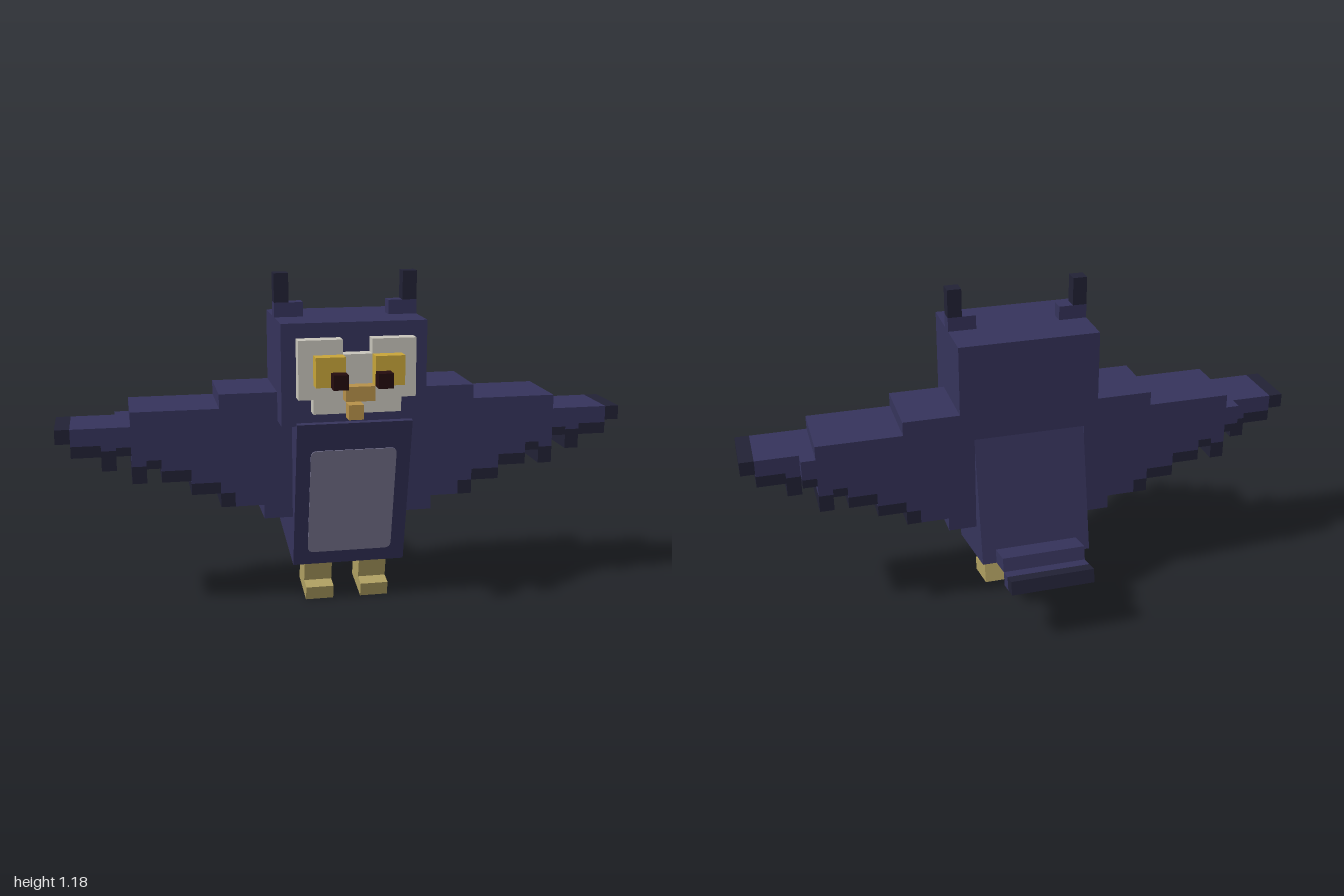
import * as THREE from 'three';

const mat = (name, color) => {
  const m = new THREE.MeshStandardMaterial({ color });
  m.name = name;
  return m;
};

export function createModel() {
  const navy = mat('navy feathers', 0x36345c);
  const dark = mat('dark feather tips', 0x222236);
  const grey = mat('belly grey', 0x807d9a);
  const cream = mat('face cream', 0xc9c6bc);
  const gold = mat('eye gold', 0xc9a63a);
  const black = mat('pupil black', 0x240c0e);
  const tan = mat('beak tan', 0xb8924a);
  const straw = mat('leg straw', 0xb0a062);

  const owl = new THREE.Group();
  owl.name = 'owl';

  // Box given by its lower and upper bounds on each axis
  const box = (parent, name, material, [x0, x1], [y0, y1], [z0, z1]) => {
    const mesh = new THREE.Mesh(new THREE.BoxGeometry(x1 - x0, y1 - y0, z1 - z0), material);
    mesh.position.set((x0 + x1) / 2, (y0 + y1) / 2, (z0 + z1) / 2);
    mesh.name = name;
    parent.add(mesh);
  };
  // The same box on both sides of the model
  const pair = (parent, name, material, [x0, x1], y, z) => {
    box(parent, name + 'Left', material, [x0, x1], y, z);
    box(parent, name + 'Right', material, [-x1, -x0], y, z);
  };
  const group = (name, parent = owl) => {
    const g = new THREE.Group();
    g.name = name;
    parent.add(g);
    return g;
  };

  // Head with ear tufts
  const head = group('head');
  box(head, 'skull', navy, [-0.25, 0.25], [0.68, 1.03], [-0.1, 0.25]);
  pair(head, 'earBase', navy, [0.15, 0.25], [1.03, 1.08], [0.05, 0.1]);
  pair(head, 'earTuft', dark, [0.2, 0.25], [1.08, 1.18], [0.05, 0.1]);

  // Face disc, notched at the brow and the lower corners
  const faceZ = [0.25, 0.3];
  box(head, 'faceCentre', cream, [-0.05, 0.05], [0.73, 0.93], faceZ);
  pair(head, 'faceCheek', cream, [0.05, 0.15], [0.73, 0.98], faceZ);
  pair(head, 'faceEdge', cream, [0.15, 0.2], [0.78, 0.98], faceZ);

  // Eyes and beak
  pair(head, 'eye', gold, [0.05, 0.15], [0.83, 0.93], [0.3, 0.35]);
  pair(head, 'pupil', black, [0.05, 0.1], [0.83, 0.88], [0.35, 0.4]);
  box(head, 'beak', tan, [-0.05, 0.05], [0.78, 0.83], [0.3, 0.35]);
  box(head, 'beakTip', tan, [-0.05, 0], [0.73, 0.78], [0.35, 0.4]);

  // Leaning body, pivoting on its lower front edge
  const body = group('body');
  body.position.set(0, 0.15, 0.15);
  body.rotation.x = THREE.MathUtils.degToRad(12.2);
  box(body, 'torso', navy, [-0.2, 0.2], [0, 0.55], [-0.35, 0]);

  // Belly patch with rounded corners
  const w = 0.15, lo = 0.05, hi = 0.45, r = 0.022;
  const patch = new THREE.Shape();
  patch.moveTo(-w + r, lo);
  patch.lineTo(w - r, lo);
  patch.quadraticCurveTo(w, lo, w, lo + r);
  patch.lineTo(w, hi - r);
  patch.quadraticCurveTo(w, hi, w - r, hi);
  patch.lineTo(-w + r, hi);
  patch.quadraticCurveTo(-w, hi, -w, hi - r);
  patch.lineTo(-w, lo + r);
  patch.quadraticCurveTo(-w, lo, -w + r, lo);
  const belly = new THREE.Mesh(
    new THREE.ExtrudeGeometry(patch, { depth: 0.003, bevelEnabled: false, curveSegments: 4 }), grey);
  belly.name = 'bellyPatch';
  body.add(belly);

  // Stepped tail
  box(body, 'tailBase', navy, [-0.15, 0.15], [0, 0.05], [-0.45, -0.35]);
  box(body, 'tailEnd', navy, [-0.15, 0.15], [-0.05, 0], [-0.5, -0.45]);
  box(body, 'tailTip', dark, [-0.15, 0.15], [-0.05, 0], [-0.55, -0.5]);

  // Legs and feet
  pair(body, 'leg', straw, [0.05, 0.15], [-0.1, 0], [-0.15, -0.05]);
  pair(body, 'foot', straw, [0.05, 0.15], [-0.15, -0.1], [-0.15, 0]);

  // Wings in stepped columns: inner x, outer x, bottom, top of dark tip, top
  const wings = group('wings');
  const columns = [
    [0.2, 0.3, 0.33, 0.33, 0.78],
    [0.3, 0.4, 0.38, 0.38, 0.78],
    [0.4, 0.45, 0.38, 0.43, 0.78],
    [0.45, 0.55, 0.43, 0.47, 0.73],
    [0.55, 0.65, 0.48, 0.52, 0.73],
    [0.65, 0.7, 0.53, 0.56, 0.73],
    [0.7, 0.75, 0.48, 0.54, 0.73],
    [0.75, 0.8, 0.58, 0.61, 0.68],
    [0.8, 0.85, 0.53, 0.6, 0.68],
    [0.85, 0.95, 0.58, 0.62, 0.68],
    [0.95, 1, 0.63, 0.68, 0.68],
  ];
  columns.forEach(([x0, x1, bottom, tip, top], i) => {
    const z = [x0 >= 0.8 ? -0.05 : -0.1, 0.15];
    if (top > tip) pair(wings, `wingFeather${i}`, navy, [x0, x1], [tip, top], z);
    if (tip > bottom) pair(wings, `wingTip${i}`, dark, [x0, x1], [bottom, tip], z);
  });

  return owl;
}
